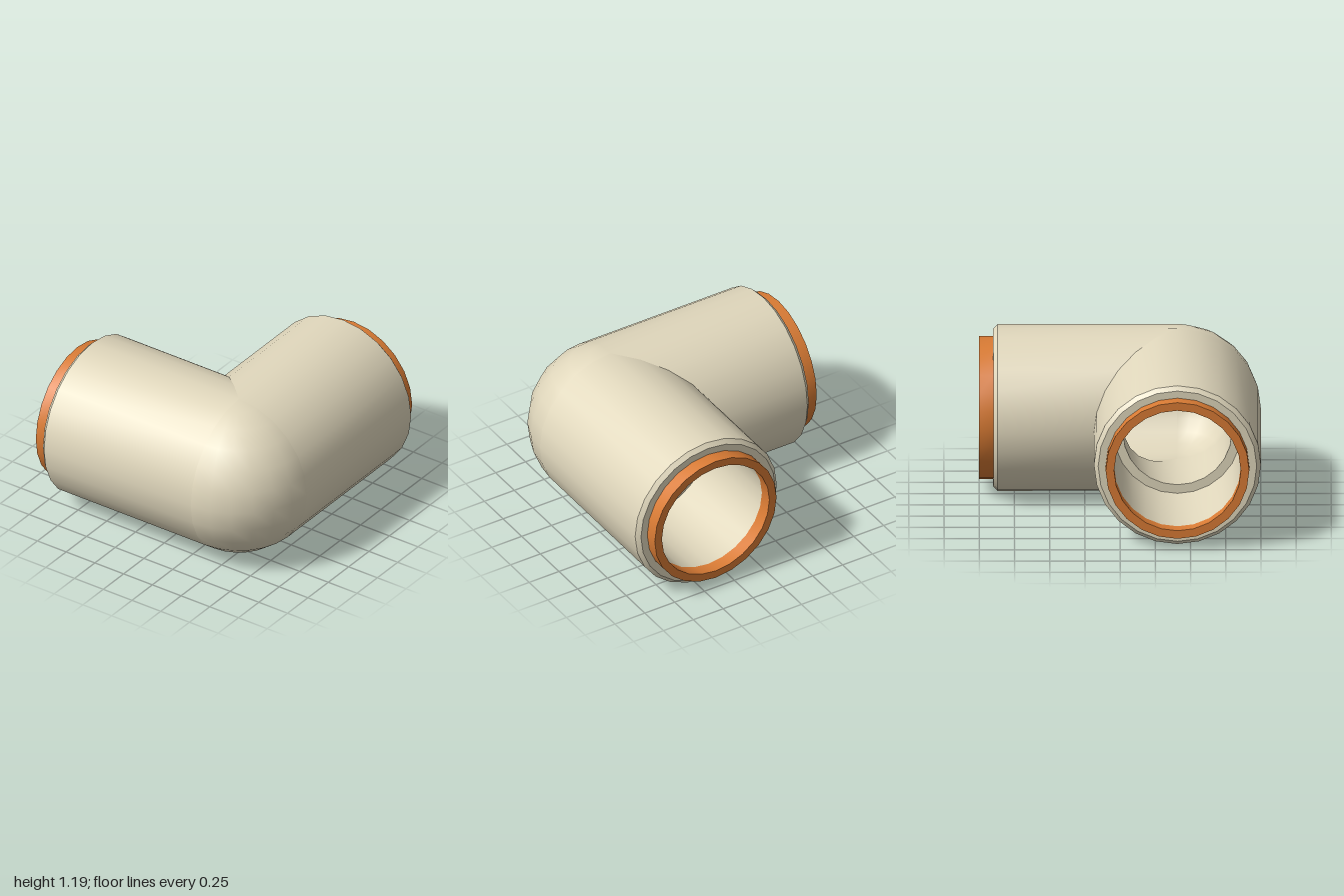
import * as THREE from 'three';
import { toCreasedNormals } from 'three/addons/utils/BufferGeometryUtils.js';

const R = 0.593;        // outer radius of the elbow
const C = 0.407;        // bend centre on x and z
const BORE = 0.45;      // socket bore
const NECK = 0.385;     // narrower bore inside the bend
const LENGTH = 0.9 + C; // bend centre to the mouth
const STEP = 0.17 + C;  // bend centre to the socket stop
const SEGMENTS = 24;

const shellMaterial = new THREE.MeshStandardMaterial({ color: 0xe0d7bc });
const ringMaterial = new THREE.MeshStandardMaterial({ color: 0xd97b34 });
const innerMaterial = new THREE.MeshStandardMaterial({ color: 0xe0d7bc, side: THREE.BackSide });

function mesh(name, geometry, material) {
  const m = new THREE.Mesh(geometry, material);
  m.name = name;
  return m;
}

function lathe(profile) {
  return new THREE.LatheGeometry(profile.map(([x, y]) => new THREE.Vector2(x, y)), SEGMENTS);
}

// One arm along +y, its inner side (-x) cut at 45 degrees to meet the other arm
function createArm(name) {
  const arm = new THREE.Group();
  arm.name = name;

  const body = lathe([
    [R, 0], [R, LENGTH - 0.03], [R - 0.03, LENGTH],
    [BORE, LENGTH], [BORE, STEP], [NECK, STEP], [NECK, 0],
  ]);
  const p = body.attributes.position;
  for (let i = 0; i < p.count; i++) {
    if (p.getY(i) === 0) p.setY(i, Math.max(0, -p.getX(i)));
  }
  arm.add(mesh(name + 'Shell', toCreasedNormals(body, 0.5), shellMaterial));

  // Coloured collar at the mouth
  const end = LENGTH + 0.1;
  const ring = lathe([[BORE, LENGTH], [0.51, LENGTH], [0.51, end], [BORE, end], [BORE, LENGTH]]);
  arm.add(mesh(name + 'Ring', toCreasedNormals(ring, 0.5), ringMaterial));
  return arm;
}

// Quarter sphere closing the outside of the bend (+x, +z)
function quarterSphere(radius) {
  return new THREE.SphereGeometry(radius, SEGMENTS / 4, SEGMENTS / 2, Math.PI / 2, Math.PI / 2);
}

export function createModel() {
  const elbow = new THREE.Group();
  elbow.name = 'pipeElbow';
  const v = (x, y, z) => new THREE.Vector3(x, y, z);

  // Arm running to the back
  const backArm = createArm('backArm');
  backArm.applyMatrix4(new THREE.Matrix4().makeBasis(v(1, 0, 0), v(0, 0, -1), v(0, 1, 0)));

  // Arm running to -x
  const sideArm = createArm('sideArm');
  sideArm.applyMatrix4(new THREE.Matrix4().makeBasis(v(0, 0, 1), v(-1, 0, 0), v(0, -1, 0)));

  elbow.add(
    backArm,
    sideArm,
    mesh('bendOuter', quarterSphere(R), shellMaterial),
    mesh('bendInner', quarterSphere(NECK), innerMaterial),
  );
  elbow.position.set(C, R, C);

  const model = new THREE.Group();
  model.name = 'elbowFitting';
  model.add(elbow);
  return model;
}
